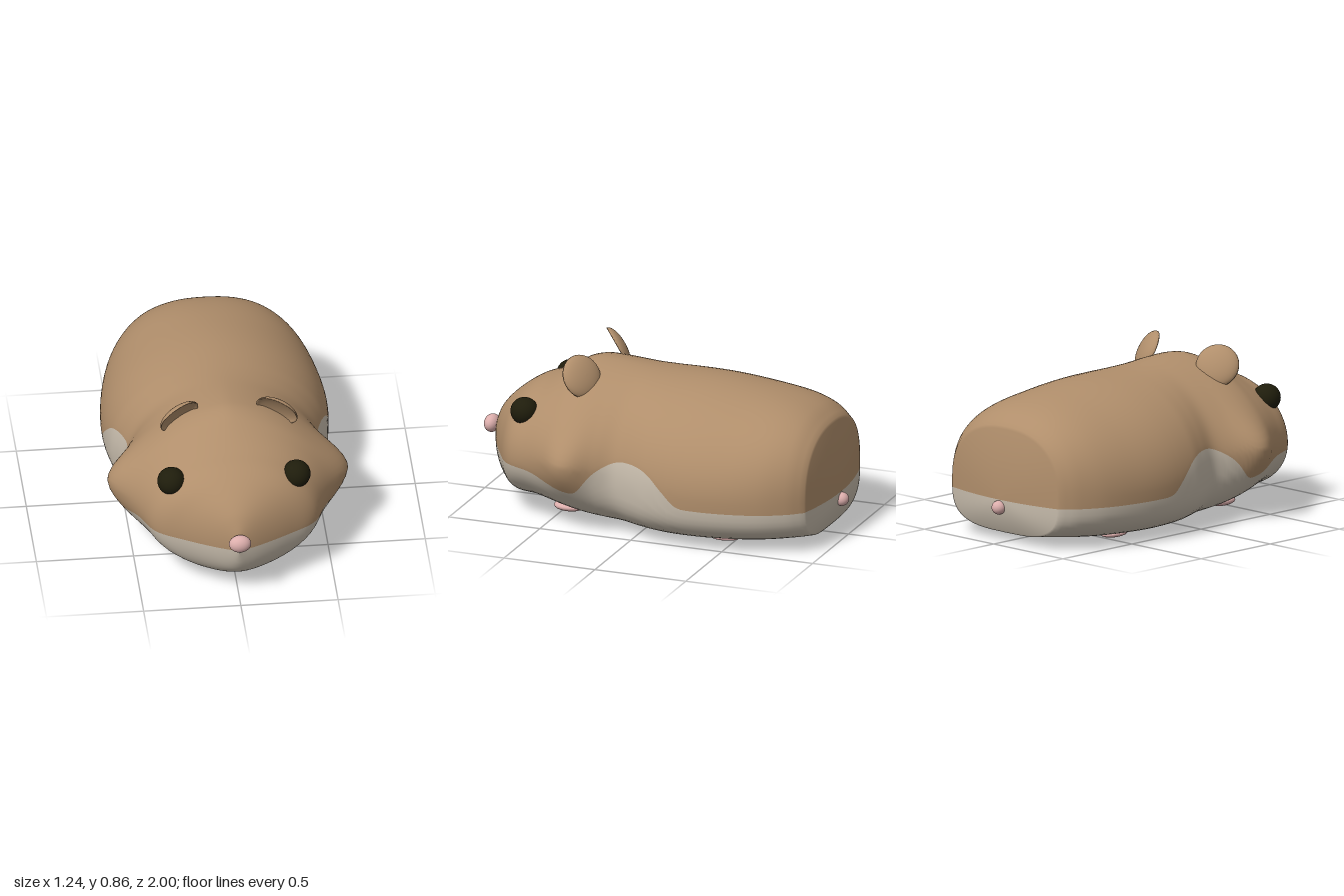
import * as THREE from 'three';

const mat = (name, color, side = THREE.FrontSide) => {
  const m = new THREE.MeshStandardMaterial({ color, side });
  m.name = name;
  return m;
};

// Smooth curve through [z, value] pairs listed from front to back
function profile(pts) {
  const slope = (i) => {
    const a = pts[Math.max(i - 1, 0)], b = pts[Math.min(i + 1, pts.length - 1)];
    return (b[1] - a[1]) / (b[0] - a[0]);
  };
  return (z) => {
    let i = 0;
    while (i < pts.length - 2 && z < pts[i + 1][0]) i++;
    const [z0, v0] = pts[i], [z1, v1] = pts[i + 1], d = z1 - z0;
    const t = THREE.MathUtils.clamp((z - z0) / d, 0, 1), t2 = t * t, t3 = t2 * t;
    return (2 * t3 - 3 * t2 + 1) * v0 + (t3 - 2 * t2 + t) * d * slope(i)
      + (3 * t2 - 2 * t3) * v1 + (t3 - t2) * d * slope(i + 1);
  };
}

const top = profile([[0.94, 0.34], [0.92, 0.41], [0.88, 0.49], [0.8, 0.575], [0.7, 0.645], [0.6, 0.685],
  [0.5, 0.74], [0.42, 0.785], [0.33, 0.802], [0, 0.775], [-0.3, 0.765], [-0.5, 0.745], [-0.7, 0.71],
  [-0.83, 0.665], [-0.91, 0.605]]);
const bottom = profile([[0.94, 0.29], [0.92, 0.21], [0.88, 0.14], [0.8, 0.08], [0.72, 0.06], [0.6, 0.06],
  [0.45, 0.04], [0.2, 0.015], [-0.2, 0.005], [-0.6, 0.02], [-0.91, 0.05]]);
const width = profile([[0.94, 0.005], [0.9, 0.1], [0.85, 0.2], [0.8, 0.29], [0.75, 0.375], [0.7, 0.425],
  [0.6, 0.47], [0.5, 0.51], [0.4, 0.54], [0.3, 0.545], [0.2, 0.52], [0.1, 0.5], [0, 0.53], [-0.1, 0.562],
  [-0.3, 0.582], [-0.5, 0.567], [-0.7, 0.52], [-0.84, 0.45], [-0.91, 0.39]]);
const middle = profile([[0.94, 0.31], [0.7, 0.33], [0.35, 0.37], [0, 0.3], [-0.3, 0.28], [-0.91, 0.27]]);
const upperPower = profile([[0.94, 2], [0.65, 2], [0.35, 1.65], [0, 1.95], [-0.5, 2], [-0.91, 2.4]]);
const lowerPower = profile([[0.94, 2], [0.65, 2.05], [0.35, 2.5], [0, 3.1], [-0.91, 3.3]]);
const furLine = profile([[0.94, 0.3], [0.58, 0.297], [0.45, 0.265], [0.35, 0.235], [0.29, 0.24], [0.2, 0.345],
  [0.1, 0.405], [0, 0.417], [-0.1, 0.39], [-0.2, 0.305], [-0.27, 0.243], [-0.36, 0.23], [-0.91, 0.23]]);

const LOW = 14, HIGH = 22, RING = 2 * (LOW + HIGH);

// One closed ring: up the left side, down the right, with a vertex exactly on the fur line
function ring(z) {
  const w = width(z), ym = middle(z), up = top(z) - ym, down = ym - bottom(z);
  const nu = upperPower(z), nl = lowerPower(z), dy = furLine(z) - ym;
  const split = dy > 0 ? Math.asin(Math.min(dy / up, 0.9) ** (nu / 2))
    : -Math.asin(Math.min(-dy / down, 0.9) ** (nl / 2));
  const half = [];
  for (let j = 0; j <= LOW + HIGH; j++) {
    const a = j <= LOW ? THREE.MathUtils.lerp(-Math.PI / 2, split, j / LOW)
      : THREE.MathUtils.lerp(split, Math.PI / 2, (j - LOW) / HIGH);
    const n = a < 0 ? nl : nu, c = Math.max(Math.cos(a), 0), s = Math.sin(a);
    const y = ym + Math.sign(s) * Math.abs(s) ** (2 / n) * (s < 0 ? down : up);
    // Cheek bulge
    const cheek = 0.073 * Math.exp(-(((z - 0.35) / 0.13) ** 2) - ((y - 0.39) / 0.15) ** 2);
    const x = c < 1e-6 ? 0 : w * c ** (2 / n) + cheek * Math.min(1, c * 2);
    half.push([x, y]);
  }
  const mirrored = half.slice(1, -1).reverse().map(([x, y]) => [-x, y]);
  return [...half, ...mirrored];
}

function bodyGeometry() {
  const rows = [], ROWS = 110;
  for (let i = 0; i <= ROWS; i++) {
    const z = 0.94 - 1.85 * (i / ROWS) ** 1.3;
    rows.push(ring(z).map(([x, y]) => [x, y, z]));
  }
  // Gently bulging rump
  const rim = rows[ROWS];
  for (const s of [0.96, 0.88, 0.75, 0.6, 0.45, 0.3, 0.15, 0.001]) {
    rows.push(rim.map(([x, y]) => [x * s, 0.23 + (y - 0.23) * s, -0.91 - 0.05 * (1 - s * s)]));
  }
  const belly = [], coat = [];
  for (let i = 0; i < rows.length - 1; i++) {
    for (let j = 0; j < RING; j++) {
      const k = (j + 1) % RING;
      const a = i * RING + j, b = i * RING + k, c = a + RING, d = b + RING;
      (j < LOW || j >= RING - LOW ? belly : coat).push(a, c, b, b, c, d);
    }
  }
  const geo = new THREE.BufferGeometry();
  geo.setAttribute('position', new THREE.Float32BufferAttribute(rows.flat(2), 3));
  geo.setIndex([...belly, ...coat]);
  geo.addGroup(0, belly.length, 0);
  geo.addGroup(belly.length, coat.length, 1);
  geo.computeVertexNormals();
  return geo;
}

export function createModel() {
  const coat = mat('brown coat', 0xb08e6b);
  const cream = mat('cream belly', 0xc6bbab);
  const pink = mat('pink skin', 0xdcaeac);
  const dark = mat('dark eye', 0x1f1d0c);
  const earCoat = coat;
  const group = new THREE.Group();
  group.name = 'hamster';

  const add = (name, geo, material, x, y, z) => {
    const m = new THREE.Mesh(geo, material);
    m.name = name;
    m.position.set(x, y, z);
    group.add(m);
    return m;
  };
  const ball = (name, material, p, r) =>
    add(name, new THREE.SphereGeometry(1, 28, 18), material, ...p).scale.set(...r);

  add('body', bodyGeometry(), [cream, coat], 0, 0, 0);
  ball('nose', pink, [0, 0.36, 0.96], [0.057, 0.047, 0.04]);
  ball('tail', pink, [0, 0.19, -0.963], [0.037, 0.036, 0.037]);

  // Shallow cupped ear, opening along +y
  const cup = [];
  for (let i = 0; i <= 12; i++) {
    const a = (i / 12) * Math.PI / 2;
    cup.push(new THREE.Vector2(0.114 * Math.sin(a), -0.045 * Math.cos(a)));
  }
  for (let i = 11; i >= 0; i--) {
    const a = (i / 12) * Math.PI / 2;
    cup.push(new THREE.Vector2(0.108 * Math.sin(a), -0.025 * Math.cos(a)));
  }
  const earGeo = new THREE.LatheGeometry(cup, 32);

  for (const [label, s] of [['left', 1], ['right', -1]]) {
    const ear = add(label + 'Ear', earGeo, earCoat, s * 0.25, 0.763, 0.37);
    ear.quaternion.setFromUnitVectors(new THREE.Vector3(0, 1, 0),
      new THREE.Vector3(-s * 0.45, -0.45, 0.72).normalize());
    ball(label + 'Eye', dark, [s * 0.322, 0.565, 0.655], [0.072, 0.071, 0.072]);
    ball(label + 'FrontPaw', pink, [s * 0.19, 0.036, 0.46], [0.056, 0.026, 0.082]);
    ball(label + 'HindPaw', pink, [s * 0.31, 0.024, -0.44], [0.052, 0.02, 0.085]);
  }
  return group;
}
